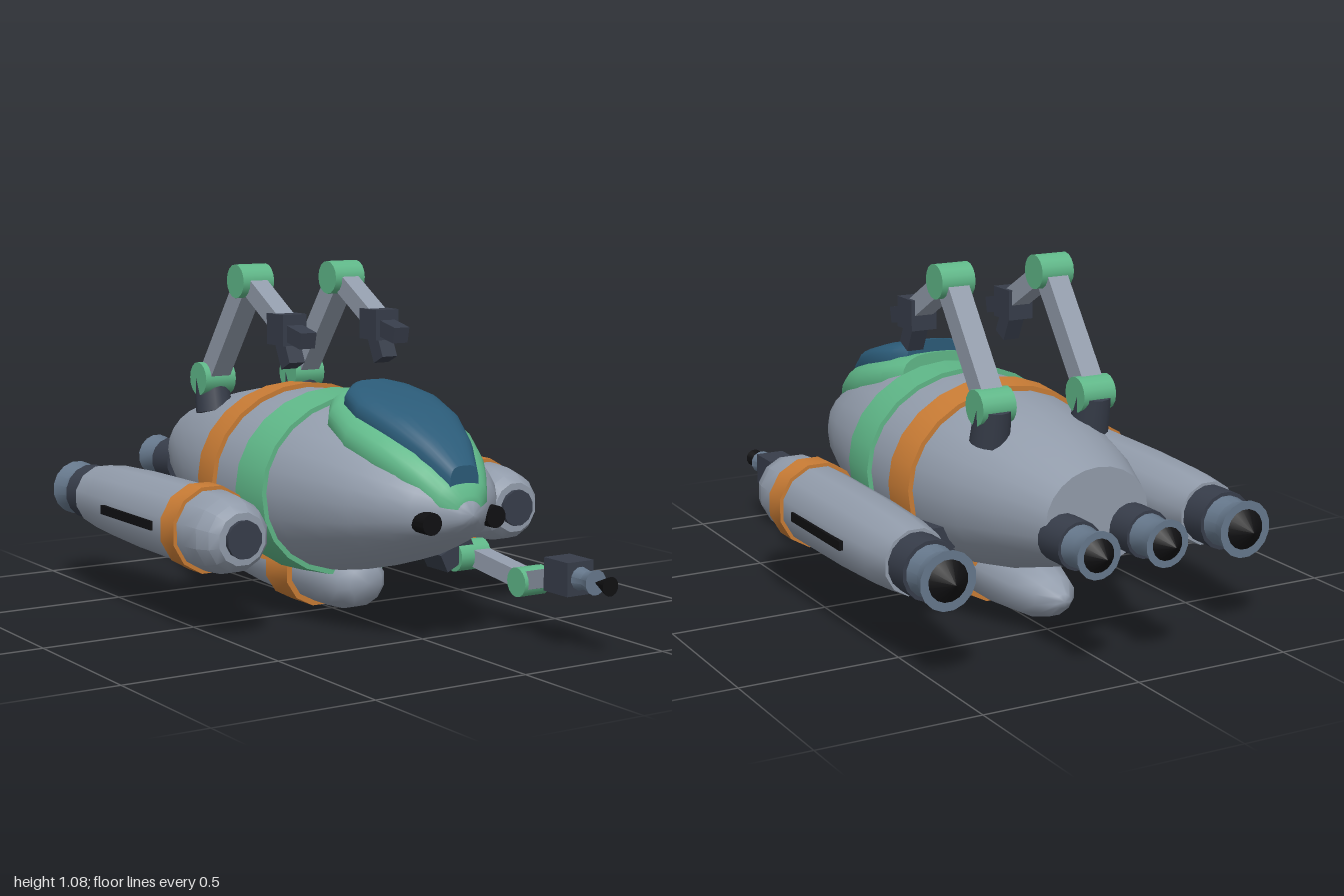
import * as THREE from 'three';
import { toCreasedNormals } from 'three/addons/utils/BufferGeometryUtils.js';

const mat = (color) => new THREE.MeshStandardMaterial({ color });
const GREY = mat(0x929cab), DARK = mat(0x373d4a), GREEN = mat(0x5fb788), ORANGE = mat(0xc97c35);
const BLUE = mat(0x2b5b78), BLACK = mat(0x101012), STEEL = mat(0x66788c);
const V = (x, y, z) => new THREE.Vector3(x, y, z);

function add(parent, name, geometry, material, pos = [0, 0, 0]) {
  const mesh = new THREE.Mesh(geometry, material);
  mesh.name = name;
  mesh.position.set(...pos);
  parent.add(mesh);
  return mesh;
}

// Skin closed rings of points; a ring of equal points makes a cap
function loft(rings, crease = 0.6) {
  const n = rings[0].length, pos = [], idx = [];
  rings.forEach((r) => r.forEach((p) => pos.push(p.x, p.y, p.z)));
  for (let i = 0; i < rings.length - 1; i++) {
    for (let j = 0; j < n; j++) {
      const a = i * n + j, b = i * n + (j + 1) % n;
      idx.push(a, a + n, b, b, a + n, b + n);
    }
  }
  const g = new THREE.BufferGeometry();
  g.setAttribute('position', new THREE.Float32BufferAttribute(pos, 3));
  g.setIndex(idx);
  return toCreasedNormals(g, crease);
}
const SIDES = 24;
const pointRing = (y, z) => Array.from({ length: SIDES }, () => V(0, y, z));
const spow = (v, e) => Math.sign(v) * Math.abs(v) ** e;

// Turned part along z; profile is [radius, z] with z rising
function turned(profile, sides = 12, crease = 0.55) {
  const g = new THREE.LatheGeometry(profile.map(([r, z]) => new THREE.Vector2(r, z)), sides);
  g.rotateY(Math.PI / sides);
  g.rotateX(Math.PI / 2);
  return toCreasedNormals(g, crease);
}
const ring = (r, z0, z1) => turned([[r - 0.03, z0], [r, z0], [r, z1], [r - 0.03, z1]]);

// Hull stations: z, half width, top y, bottom y
const HULL = [
  [0.75, 0, 0.41, 0.41], [0.735, 0.036, 0.445, 0.38], [0.7, 0.088, 0.485, 0.35], [0.65, 0.155, 0.525, 0.32],
  [0.58, 0.208, 0.565, 0.285], [0.48, 0.257, 0.61, 0.24], [0.36, 0.293, 0.65, 0.2], [0.2, 0.322, 0.68, 0.16],
  [0.05, 0.335, 0.69, 0.14], [-0.15, 0.335, 0.69, 0.138], [-0.3, 0.32, 0.68, 0.155], [-0.45, 0.288, 0.655, 0.185],
  [-0.6, 0.242, 0.62, 0.23], [-0.77, 0.17, 0.57, 0.28],
];
function station(z) {
  let i = 0;
  while (i < HULL.length - 2 && z < HULL[i + 1][0]) i++;
  const [p, q] = [HULL[i], HULL[i + 1]];
  const t = THREE.MathUtils.clamp((p[0] - z) / (p[0] - q[0]), 0, 1);
  const [w, top, bot] = [1, 2, 3].map((k) => p[k] + (q[k] - p[k]) * t);
  return { w, c: (top + bot) / 2, h: (top - bot) / 2 };
}
function section(z, grow = 0) {
  const { w, c, h } = station(z);
  return Array.from({ length: SIDES }, (_, j) => {
    const a = (j / SIDES) * Math.PI * 2, s = Math.sin(a);
    const e = s < 0 ? 0.9 : 1; // slightly fuller underside
    return V((w + grow) * spow(Math.cos(a), e), c + (h + grow) * spow(s, e), z);
  });
}
const hullBand = (z0, z1) => loft([section(z0, -0.02), section(z0, 0.015), section(z1, 0.015), section(z1, -0.02)]);

// Domed shell set into the hull; stations are [z, half width, top y, edge y]
function dome(stations, e) {
  const rings = stations.map(([z, w, top, edge]) => Array.from({ length: SIDES }, (_, j) => {
    const a = (j / SIDES) * Math.PI * 2, s = Math.sin(a);
    return V(w * spow(Math.cos(a), e), edge + (s > 0 ? top - edge : 0.03) * spow(s, e), z);
  }));
  const cap = ([z, , top, edge]) => pointRing((top + edge) / 2, z);
  return loft([cap(stations[0]), ...rings, cap(stations[stations.length - 1])], 0.7);
}

function limb(parent, name, a, b, w, t, material) {
  const mesh = new THREE.Mesh(new THREE.BoxGeometry(w, t, a.distanceTo(b)), material);
  mesh.name = name;
  mesh.position.copy(a).lerp(b, 0.5);
  mesh.lookAt(b);
  parent.add(mesh);
}
function joint(parent, name, p, r, len) {
  const g = new THREE.CylinderGeometry(r, r, len, 16).rotateZ(Math.PI / 2);
  add(parent, name, g, GREEN, [p.x, p.y, p.z]);
}

// Rear thruster starting at z = 0 and pointing back
function thruster(r) {
  const g = new THREE.Group();
  g.name = 'thruster';
  add(g, 'thrusterCollar', turned([[0, -0.09], [r, -0.09], [r, 0.02], [0, 0.02]], 16), DARK);
  add(g, 'thrusterNozzle', turned([[0, -0.19], [r * 0.98, -0.19], [r * 0.8, -0.14], [r * 0.88, -0.085]], 16), STEEL);
  add(g, 'thrusterCore', turned([[0, -0.235], [r * 0.72, -0.188], [0, -0.185]], 16), BLACK);
  return g;
}

function sidePod(s) {
  const g = new THREE.Group();
  g.name = s > 0 ? 'leftPod' : 'rightPod';
  add(g, 'podBody', turned([[0, -0.61], [0.1, -0.61], [0.113, -0.5], [0.121, -0.3], [0.124, 0], [0.123, 0.15],
    [0.117, 0.22], [0.102, 0.27], [0.08, 0.297], [0, 0.3]]), GREY);
  add(g, 'podNoseCap', turned([[0, 0.28], [0.058, 0.28], [0.058, 0.311], [0, 0.311]]), DARK);
  add(g, 'podBand', ring(0.135, 0.035, 0.115), ORANGE);
  add(g, 'podStripe', new THREE.BoxGeometry(0.03, 0.028, 0.335), BLACK, [s * 0.112, 0, -0.205]);
  add(g, 'podStrut', new THREE.BoxGeometry(0.17, 0.07, 0.335), DARK, [-s * 0.165, -0.025, -0.21]);
  const t = thruster(0.09);
  t.position.z = -0.61;
  g.add(t);
  g.position.set(s * 0.497, 0.32, 0);
  return g;
}

function topArm(s) {
  const g = new THREE.Group();
  g.name = s > 0 ? 'leftTopArm' : 'rightTopArm';
  const shoulder = V(0, 0.7, -0.455), elbow = V(0, 1.03, -0.21), wrist = V(0, 0.9, 0.01);
  add(g, 'armBase', new THREE.CylinderGeometry(0.055, 0.06, 0.11, 16), DARK, [0, 0.645, -0.457]).rotation.x = -0.2;
  joint(g, 'shoulder', shoulder, 0.054, 0.11);
  limb(g, 'upperArm', shoulder, elbow, 0.07, 0.07, GREY);
  joint(g, 'elbow', elbow, 0.053, 0.11);
  limb(g, 'forearm', elbow, wrist, 0.062, 0.06, GREY);
  add(g, 'wrist', new THREE.BoxGeometry(0.085, 0.095, 0.095), DARK, [0, 0.895, 0.008]);
  limb(g, 'upperFinger', V(0, 0.89, 0.03), V(0, 0.868, 0.132), 0.055, 0.05, DARK);
  limb(g, 'lowerFinger', V(0, 0.87, 0.005), V(0, 0.785, 0.045), 0.055, 0.055, DARK);
  g.position.x = s * 0.17;
  return g;
}

function toolArm() {
  const g = new THREE.Group();
  g.name = 'toolArm';
  const shoulder = V(0.28, 0.2, 0.34), elbow = V(0.322, 0.158, 0.595), wrist = V(0.3, 0.215, 0.81);
  add(g, 'toolArmBase', new THREE.BoxGeometry(0.12, 0.06, 0.11), DARK, [0.225, 0.212, 0.315]).rotation.z = 0.45;
  joint(g, 'toolShoulder', shoulder, 0.048, 0.11);
  limb(g, 'toolUpperArm', V(0.3, 0.2, 0.34), elbow, 0.06, 0.055, GREY);
  joint(g, 'toolElbow', elbow, 0.045, 0.095);
  limb(g, 'toolForearm', elbow, wrist, 0.06, 0.055, GREY);
  add(g, 'toolWrist', new THREE.BoxGeometry(0.095, 0.1, 0.11), DARK, [0.3, 0.215, 0.81]);
  add(g, 'toolNozzle', turned([[0.036, 0.86], [0.028, 0.9], [0.038, 0.935], [0, 0.935]]), STEEL, [0.3, 0.215, 0]);
  add(g, 'toolTip', turned([[0, 0.93], [0.029, 1], [0, 1]]), BLACK, [0.3, 0.215, 0]);
  return g;
}

export function createModel() {
  const root = new THREE.Group();
  root.name = 'submersible';

  // Hull with closed tail and bands
  add(root, 'hull', loft([...HULL.map((s) => section(s[0])), pointRing(0.425, -0.77)], 0.8), GREY);
  add(root, 'frontBand', hullBand(0.145, 0), GREEN);
  add(root, 'rearBand', hullBand(-0.145, -0.255), ORANGE);

  // Canopy
  add(root, 'canopyFrame', dome([[0.73, 0.04, 0.465, 0.42], [0.7, 0.085, 0.505, 0.44], [0.65, 0.12, 0.55, 0.48],
    [0.6, 0.148, 0.587, 0.508], [0.5, 0.184, 0.638, 0.548], [0.38, 0.2, 0.678, 0.58], [0.25, 0.175, 0.708, 0.625],
    [0.185, 0.13, 0.72, 0.64]], 0.7), GREEN);
  add(root, 'canopyGlass', dome([[0.705, 0.05, 0.55, 0.49], [0.62, 0.092, 0.622, 0.555], [0.5, 0.133, 0.683, 0.62],
    [0.37, 0.152, 0.723, 0.66], [0.27, 0.13, 0.744, 0.685], [0.23, 0.09, 0.752, 0.69]], 0.6), BLUE);

  // Belly tank, slightly flattened
  const belly = new THREE.Group();
  belly.name = 'belly';
  add(belly, 'bellyTank', turned([[0, -0.6], [0.025, -0.592], [0.07, -0.54], [0.1, -0.45], [0.115, -0.3], [0.115, 0.02],
    [0.108, 0.11], [0.09, 0.165], [0.06, 0.195], [0, 0.206]], 12, 0.8), GREY);
  add(belly, 'bellyBand', ring(0.134, -0.19, -0.06), ORANGE);
  belly.position.y = 0.116;
  belly.scale.y = 0.89;
  root.add(belly);

  // Mirrored parts
  for (const s of [1, -1]) {
    add(root, 'noseLamp', turned([[0, 0.61], [0.033, 0.61], [0.033, 0.708], [0, 0.708]], 16), BLACK, [s * 0.113, 0.39, 0]);
    root.add(sidePod(s), topArm(s));
    const t = thruster(0.072);
    t.position.set(s * 0.113, 0.378, -0.77);
    root.add(t);
  }
  root.add(toolArm());
  return root;
}
